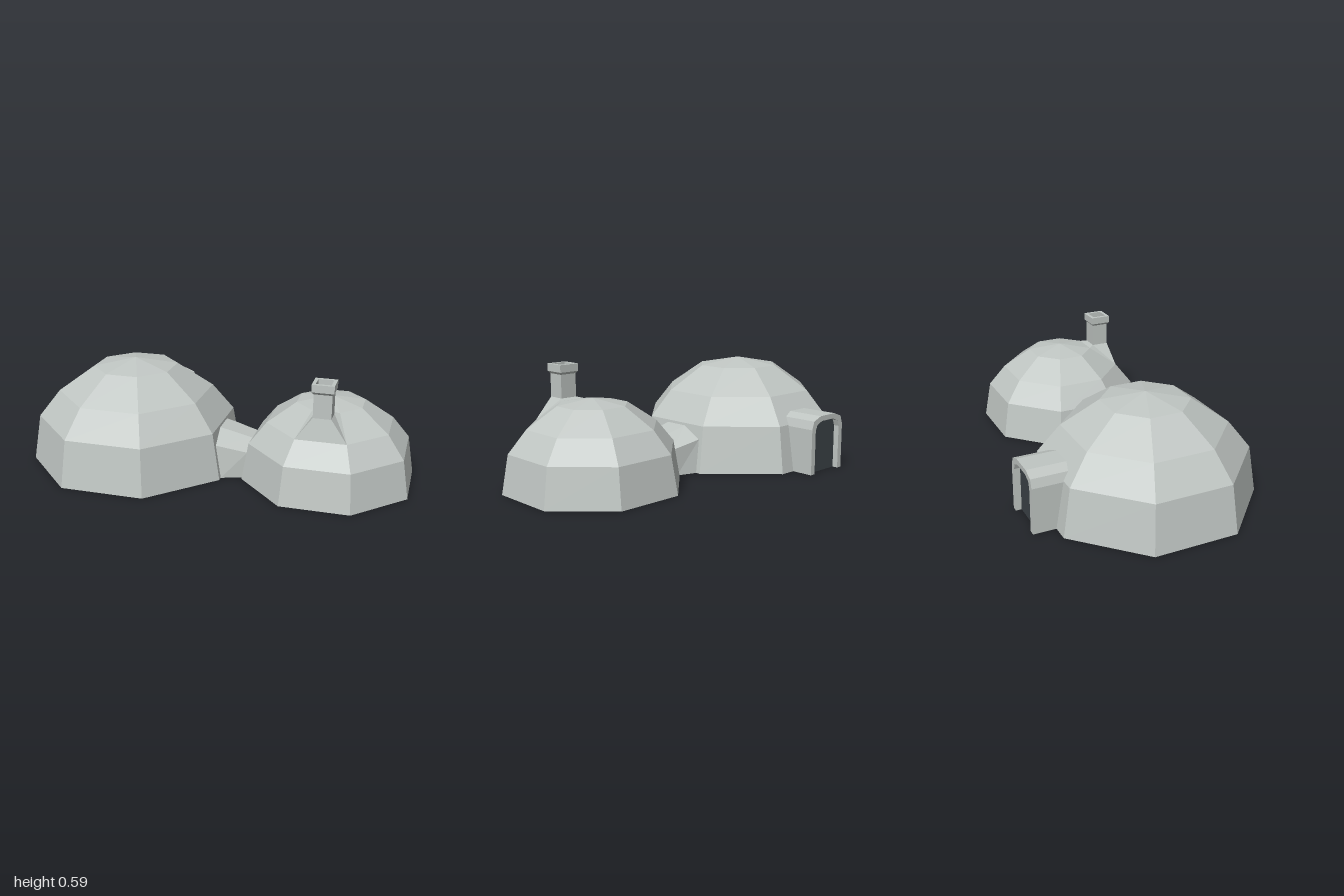
import * as THREE from 'three';

const wall = new THREE.MeshStandardMaterial({ color: 0xc0c6c3, side: THREE.DoubleSide });
wall.name = 'pale grey wall';
const dark = new THREE.MeshStandardMaterial({ color: 0x3c4347, side: THREE.DoubleSide });
dark.name = 'dark door';

// flat-shaded mesh from a list of convex polygons, counter-clockwise from outside
function facets(name, polygons, material = wall) {
  const pos = [];
  for (const p of polygons)
    for (let i = 1; i < p.length - 1; i++) pos.push(...p[0], ...p[i], ...p[i + 1]);
  const geo = new THREE.BufferGeometry();
  geo.setAttribute('position', new THREE.Float32BufferAttribute(pos, 3));
  geo.computeVertexNormals();
  const mesh = new THREE.Mesh(geo, material);
  mesh.name = name;
  return mesh;
}

// strip of quads between two point rows
const strip = (a, b) => a.slice(1).map((_, i) => [a[i], b[i], b[i + 1], a[i + 1]]);
// full arch from its right half, running from + to -
const arch = half => [...half, ...half.map(([u, y]) => [-u, y]).reverse()];

// dome profile: distance from axis to the middle of a side, and height
const PROFILE = [[0.525, 0], [0.485, 0.245], [0.38, 0.385], [0.205, 0.515]];
const big = { x: -0.475, z: 0.057, s: 1, apex: 0.555 };
const small = { x: 0.578, z: 0.055, s: 0.803, apex: 0.445 };

// distance of a dome side from the axis at height y
function reach(d, y) {
  const p = PROFILE.map(([a, h]) => [a * d.s, h * d.s]);
  let i = 0;
  while (i < 2 && y > p[i + 1][1]) i++;
  return THREE.MathUtils.mapLinear(y, p[i][1], p[i + 1][1], p[i][0], p[i + 1][0]);
}

// eight-sided shell; special(ring, side, corners) may replace a panel
function dome(name, d, special) {
  const point = (ring, k) => {
    const [a, h] = PROFILE[ring];
    const r = a * d.s / Math.cos(Math.PI / 8), t = Math.PI / 8 + k * Math.PI / 4;
    return [d.x + r * Math.cos(t), h * d.s, d.z + r * Math.sin(t)];
  };
  const faces = [];
  for (let k = 0; k < 8; k++) {
    for (let r = 0; r < 3; r++) {
      const c = [point(r, k + 1), point(r, k), point(r + 1, k), point(r + 1, k + 1)];
      faces.push(...(special(r, k, c) || [c]));
    }
    faces.push([point(3, k + 1), point(3, k), [d.x, d.apex, d.z]]);
  }
  return facets(name, faces);
}

// panel with a six-point archway cut into it
function archPanel([BL, BR, TR, TL], p) {
  return [[BL, p[0], p[1]], [BL, p[1], TL], [TL, p[1], p[2]], [TL, p[2], p[3], TR],
    [TR, p[3], p[4]], [TR, p[4], BR], [BR, p[4], p[5]]];
}

export function createModel() {
  const model = new THREE.Group();

  // corridor archways, lying on the facing sides of the two domes
  const bigArch = arch([[0.19, 0], [0.182, 0.175], [0.065, 0.232]])
    .map(([u, y]) => [big.x + reach(big, y), y, big.z + u]);
  const smallArch = arch([[0.155, 0], [0.15, 0.14], [0.055, 0.186]])
    .map(([u, y]) => [small.x - reach(small, y), y, small.z + u]);
  model.add(facets('corridor', strip(bigArch, smallArch)));

  model.add(dome('largeDome', big, (r, k, c) =>
    r === 0 && k === 7 ? archPanel(c, bigArch) : null));

  // small dome, its front roof panel drawn up to the chimney
  const cx = small.x, cz = 0.295, w = 0.045, foot = 0.42;
  model.add(dome('smallDome', small, (r, k, c) => {
    if (r === 0 && k === 3) return archPanel(c, [...smallArch].reverse());
    if (r !== 2 || k !== 1) return null;
    const [BL, BR, TR, TL] = c;
    const [FL, FR, KR, KL] = [[-w, w], [w, w], [w, -w], [-w, -w]]
      .map(([x, z]) => [cx + x, foot, cz + z]);
    return [[BL, BR, FR, FL], [BL, FL, KL, TL], [BR, TR, KR, FR], [KL, KR, TR, TL]];
  }));

  // hollow square chimney with a wider cap
  const outline = [[w, foot], [w, 0.54], [0.055, 0.552], [0.055, 0.59], [0.038, 0.59], [0.038, foot]]
    .map(([r, y]) => new THREE.Vector2(r * Math.SQRT2, y));
  const tube = new THREE.LatheGeometry(outline, 4, Math.PI / 4).toNonIndexed();
  tube.computeVertexNormals();
  const chimney = new THREE.Mesh(tube, wall);
  chimney.name = 'chimney';
  chimney.position.set(cx, 0, cz);
  model.add(chimney);

  // arched porch at the back with a recessed door
  const outer = arch([[0.13, 0], [0.13, 0.24], [0.115, 0.284], [0.06, 0.305]]);
  const inner = arch([[0.1, 0], [0.1, 0.23], [0.088, 0.262], [0.048, 0.278]]);
  const at = (section, z) => section.map(([u, y]) => [big.x + u, y, z]);
  const onDome = outer.map(([u, y]) => [big.x + u, y, big.z - reach(big, y)]);
  const front = -0.585, recess = -0.555;
  const porch = new THREE.Group();
  porch.name = 'porch';
  porch.add(
    facets('porchShell', strip(at(outer, front), onDome)),
    facets('porchFrame', strip(at(inner, front), at(outer, front))),
    facets('porchReveal', strip(at(inner, recess), at(inner, front))),
    facets('door', [at(inner, recess)], dark),
  );
  model.add(porch);

  return model;
}
